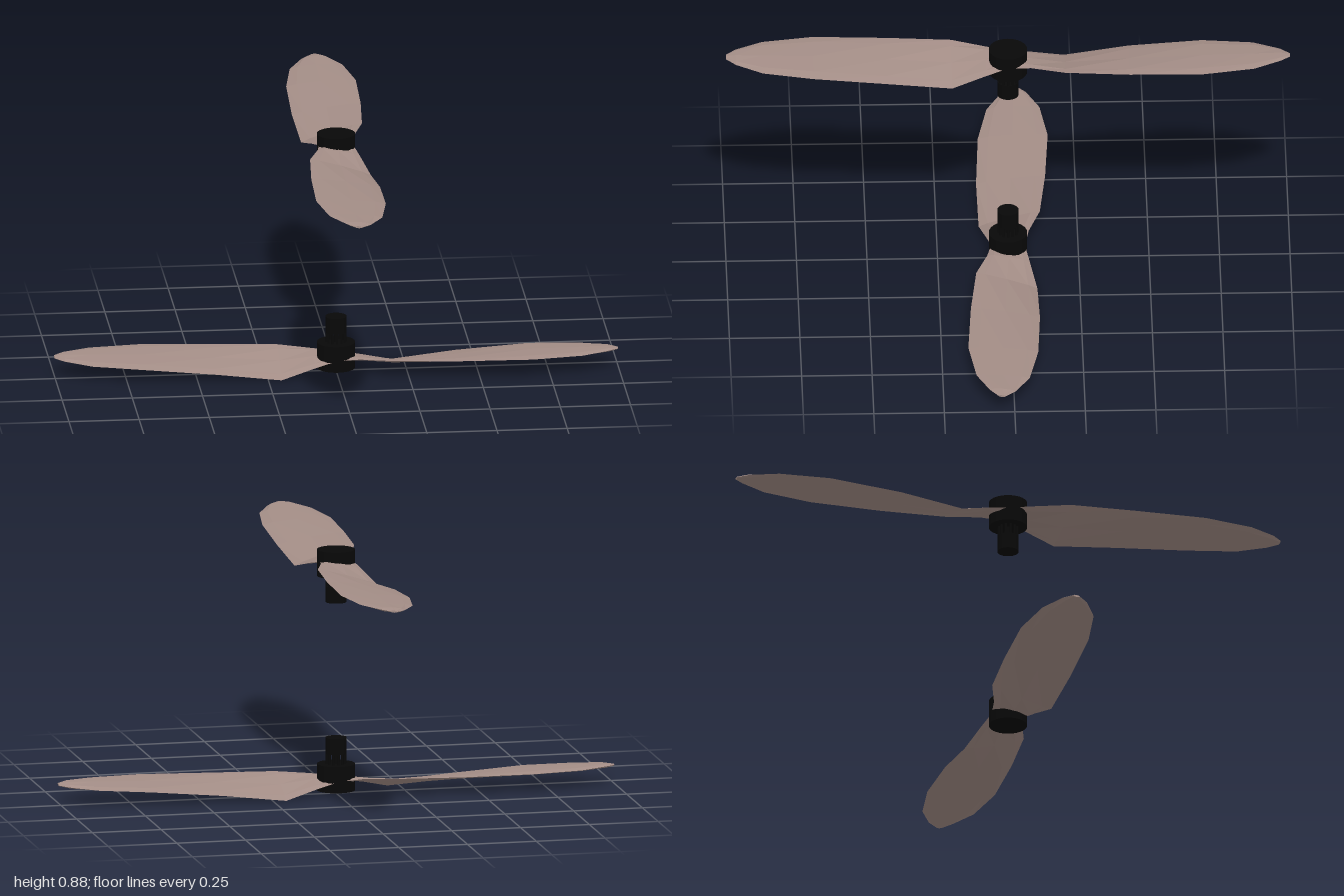
import * as THREE from 'three';

const bladeMat = new THREE.MeshStandardMaterial({ color: 0xa38d86, flatShading: true });
const blackMat = new THREE.MeshStandardMaterial({ color: 0x080808 });

// Blade stations: radius, low edge z, high edge z, low edge y, high edge y, half thickness
const stations = [
  [0, -0.06, 0.06, 0.057, 0.057, 0.008],
  [0.08, -0.078, 0.073, 0.038, 0.066, 0.008],
  [0.2, -0.105, 0.112, 0.005, 0.07, 0.007],
  [0.43, -0.115, 0.13, 0.034, 0.07, 0.008],
  [0.69, -0.11, 0.138, 0.056, 0.073, 0.009],
  [0.87, -0.08, 0.108, 0.063, 0.074, 0.009],
  [0.965, -0.03, 0.06, 0.068, 0.075, 0.009],
  [1, 0.005, 0.03, 0.07, 0.073, 0.004],
];

// Twisted two-bladed loft running through the hub
function bladeGeometry() {
  const opposite = stations.slice(1).reverse().map(([r, a, b, ya, yb, t]) => [-r, -b, -a, yb, ya, t]);
  const sections = [...opposite, ...stations];
  const outline = [[0, 0], [0.15, 0.7], [0.5, 1], [0.85, 0.7], [1, 0], [0.85, -0.7], [0.5, -1], [0.15, -0.7]];
  const n = outline.length;
  const pos = [], idx = [];
  for (const [r, a, b, ya, yb, t] of sections)
    for (const [k, h] of outline) pos.push(r, ya + (yb - ya) * k + h * t, a + (b - a) * k);
  for (let i = 0; i < sections.length - 1; i++)
    for (let j = 0; j < n; j++) {
      const p = i * n + j, q = i * n + (j + 1) % n;
      idx.push(p, q, p + n, q, q + n, p + n);
    }
  // Tip caps
  const last = (sections.length - 1) * n;
  for (let j = 1; j < n - 1; j++) idx.push(0, j + 1, j, last, last + j, last + j + 1);
  const g = new THREE.BufferGeometry();
  g.setAttribute('position', new THREE.Float32BufferAttribute(pos, 3));
  g.setIndex(idx);
  g.computeVertexNormals();
  return g;
}

function cylinder(parent, name, radius, y0, y1, x = 0, z = 0, sides = 32) {
  const m = new THREE.Mesh(new THREE.CylinderGeometry(radius, radius, y1 - y0, sides), blackMat);
  m.position.set(x, (y0 + y1) / 2, z);
  m.name = name;
  parent.add(m);
}

// Hub with a slotted motor standing on it, built upwards from y = 0
function motor() {
  const g = new THREE.Group();
  g.name = 'motor';
  cylinder(g, 'hub', 0.068, 0, 0.095);
  cylinder(g, 'motorCap', 0.038, 0.132, 0.19);
  cylinder(g, 'motorShaft', 0.008, 0.09, 0.14, 0, 0, 12);
  for (let i = 0; i < 12; i++) {
    const a = (i / 12) * Math.PI * 2;
    cylinder(g, 'motorRib', 0.0045, 0.09, 0.135, Math.cos(a) * 0.033, Math.sin(a) * 0.033, 6);
  }
  return g;
}

export function createModel() {
  const model = new THREE.Group();
  model.name = 'propellerPair';
  const blades = bladeGeometry();
  for (const upper of [false, true]) {
    const prop = new THREE.Group();
    prop.name = upper ? 'upperPropeller' : 'lowerPropeller';
    const blade = new THREE.Mesh(blades, bladeMat);
    blade.name = 'blades';
    blade.rotation.y = upper ? Math.PI / 2 : -0.028;
    blade.position.y = upper ? 0.79 : 0.003;
    const m = motor();
    // The upper motor hangs down, the lower one stands up
    m.rotation.x = upper ? Math.PI : 0;
    m.position.y = upper ? 0.89 : 0.02;
    prop.add(blade, m);
    model.add(prop);
  }
  return model;
}
